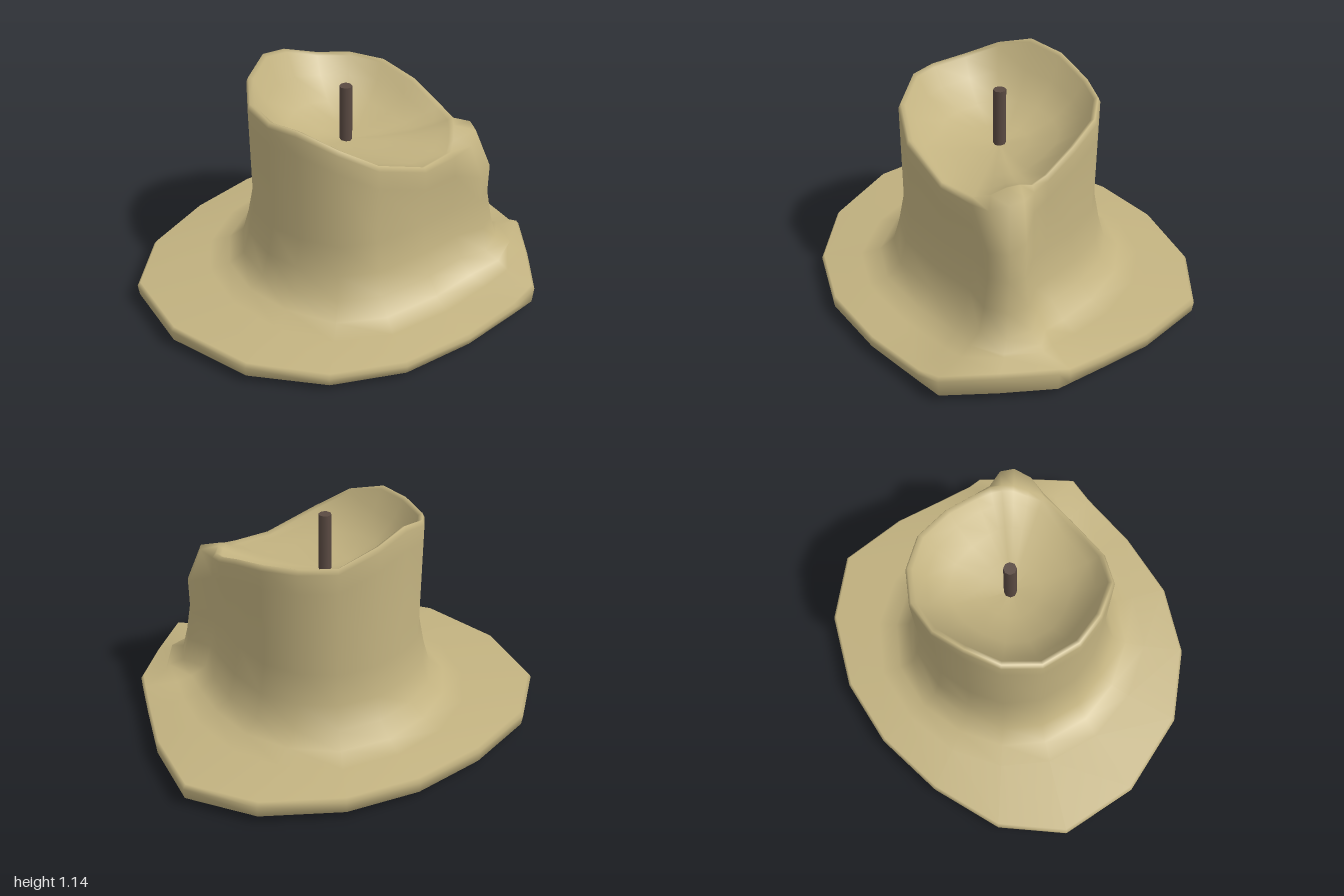
import * as THREE from 'three';

const wax = new THREE.MeshStandardMaterial({ color: 0xc2b280 });
wax.name = 'tan wax';
const char = new THREE.MeshStandardMaterial({ color: 0x5a4a42 });
char.name = 'charred wick';

// Centre of the candle column
const CX = 0.02, CZ = -0.02;

// One row per column: puddle edge x, z, wall x, z, rim height, puddle height
const COLUMNS = [
  [0.96, 0.03, 0.49, 0.02, 0.95, 0.11],
  [0.88, 0.28, 0.475, 0.2, 0.88, 0.11],
  [0.82, 0.46, 0.47, 0.29, 0.86, 0.12],
  [0.8, 0.52, 0.53, 0.42, 0.87, 0.15],
  [0.61, 0.71, 0.5, 0.5, 0.86, 0.15],
  [0.41, 0.89, 0.4, 0.53, 0.82, 0.145],
  [0.28, 0.88, 0.26, 0.47, 0.8, 0.1],
  [-0.05, 0.85, 0.06, 0.45, 0.8, 0.095],
  [-0.4, 0.76, -0.2, 0.39, 0.9, 0.1],
  [-0.7, 0.56, -0.35, 0.28, 1.0, 0.1],
  [-0.92, 0.24, -0.43, 0.1, 1.06, 0.11],
  [-1, -0.19, -0.45, -0.06, 1.05, 0.115],
  [-0.91, -0.58, -0.4, -0.25, 1.05, 0.115],
  [-0.64, -0.8, -0.28, -0.39, 1.1, 0.115],
  [-0.27, -0.89, -0.12, -0.46, 1.14, 0.115],
  [0.1, -0.9, 0.05, -0.49, 1.1, 0.115],
  [0.45, -0.82, 0.24, -0.45, 1.03, 0.115],
  [0.79, -0.62, 0.38, -0.34, 1.02, 0.115],
  [1, -0.33, 0.47, -0.18, 1.0, 0.115],
];

// Profile of one column, from the middle of the underside up and over into the bowl
function profile([bx, bz, wx, wz, rim, top]) {
  const gap = Math.hypot(bx - wx, bz - wz);
  const radius = Math.hypot(wx - CX, wz - CZ);
  const drip = Math.max(0, radius - 0.53);          // how far the drip bulges out
  const rimScale = Math.min(1, 0.53 / radius);
  const base = (s, y) => [bx * s, y, bz * s];
  const wall = (d, y) => [wx + (bx - wx) * d / gap, y, wz + (bz - wz) * d / gap];
  const bowl = (s, y) => [CX + (wx - CX) * rimScale * s, y, CZ + (wz - CZ) * rimScale * s];
  const floor = 0.78;
  const sink = (f) => floor + (rim - floor) * f;
  return [
    base(0, 0), base(0.85, 0), base(0.94, 0.008), base(0.995, 0.04),
    base(1, top - 0.02), base(0.985, top),
    wall(Math.min(0.24, gap * 0.55), top + 0.01),
    wall(0.14, top + 0.04),
    wall(0.065, 0.21), wall(0.03, 0.33), wall(0, 0.48),
    wall(0, rim - 0.12 - drip * 0.6),
    bowl(1 + drip, rim - 0.025), bowl(0.975, rim),
    bowl(0.93, rim - 0.012), bowl(0.82, sink(0.6)),
    bowl(0.6, sink(0.25)), bowl(0.3, sink(0.05)), bowl(0, floor),
  ];
}

// Closed skin through all column profiles
function meltedBody() {
  const columns = COLUMNS.map(profile);
  const n = columns.length, rings = columns[0].length;
  const positions = [], index = [];
  for (let r = 0; r < rings; r++) {
    for (let i = 0; i < n; i++) {
      positions.push(...columns[i][r]);
      if (r === rings - 1) continue;
      const a = r * n + i, b = r * n + (i + 1) % n;
      if (r < rings - 2) index.push(a, a + n, b + n, a, b + n, b);
      else index.push(a, a + n, b);
    }
  }
  const geometry = new THREE.BufferGeometry();
  geometry.setAttribute('position', new THREE.Float32BufferAttribute(positions, 3));
  geometry.setIndex(index);
  geometry.computeVertexNormals();
  return geometry;
}

export function createModel() {
  const group = new THREE.Group();
  group.name = 'meltedCandle';

  const body = new THREE.Mesh(meltedBody(), wax);
  body.name = 'waxBody';
  group.add(body);

  // Wick standing in the bowl
  const wick = new THREE.Mesh(new THREE.CylinderGeometry(0.031, 0.031, 0.31, 8), char);
  wick.name = 'wick';
  wick.position.set(0.02, 0.915, -0.025);
  group.add(wick);

  return group;
}
